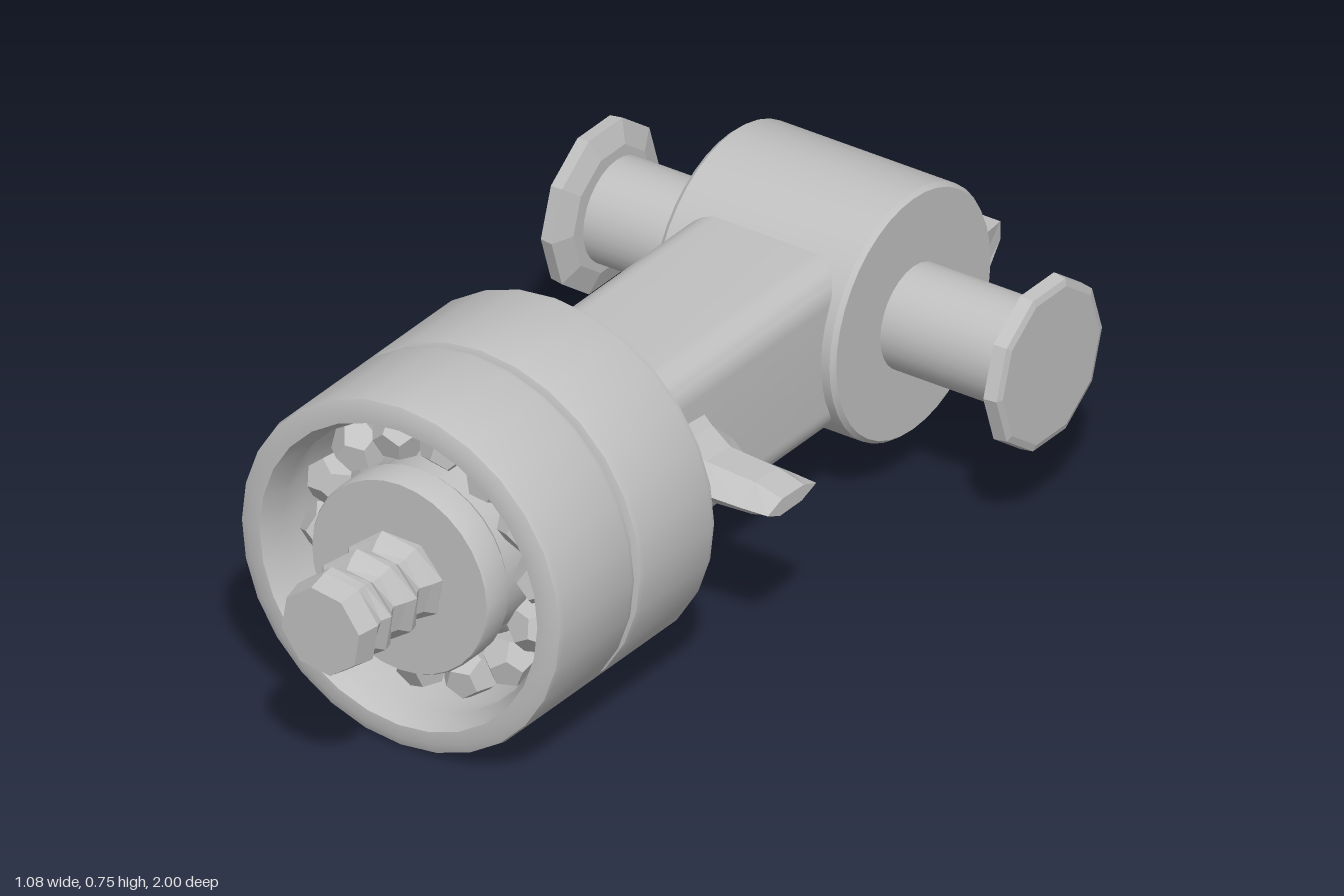
import * as THREE from 'three';
import { toCreasedNormals } from 'three/addons/utils/BufferGeometryUtils.js';

const steel = new THREE.MeshStandardMaterial({ color: 0xc0c0c0 });
steel.name = 'steel grey';
const AXIS_Y = 0.38;   // height of the bearing axis
const PIN_Z = -0.65;   // position of the cross pin

// closed loft through equally sized loops, each running anticlockwise about the loft direction
function loft(rings) {
  const n = rings[0].length, pos = [];
  const tri = (a, b, c) => pos.push(...a, ...b, ...c);
  for (let i = 0; i < rings.length - 1; i++) {
    for (let j = 0; j < n; j++) {
      const k = (j + 1) % n, a = rings[i], b = rings[i + 1];
      tri(a[j], a[k], b[k]);
      tri(a[j], b[k], b[j]);
    }
  }
  const first = rings[0], last = rings[rings.length - 1];
  for (let j = 1; j < n - 1; j++) {
    tri(first[0], first[j + 1], first[j]);
    tri(last[0], last[j], last[j + 1]);
  }
  const g = new THREE.BufferGeometry();
  g.setAttribute('position', new THREE.Float32BufferAttribute(pos, 3));
  g.computeVertexNormals();
  return g;
}

// lathe with sharp edges; profile is [radius, along-axis]
function turned(profile, segments) {
  const g = new THREE.LatheGeometry(profile.map(p => new THREE.Vector2(...p)), segments);
  return toCreasedNormals(g, 0.6);
}

export function createModel() {
  const model = new THREE.Group();
  model.name = 'bearingAssembly';
  let seed = 7;
  const rand = () => (seed = (seed * 16807) % 2147483647) / 2147483647;
  const add = (parent, name, geometry, x = 0, y = 0, z = 0) => {
    const m = new THREE.Mesh(geometry, steel);
    m.name = name;
    m.position.set(x, y, z);
    parent.add(m);
    return m;
  };

  // two ball bearings side by side
  const outer = turned([[0.352, -0.13], [0.372, -0.122], [0.375, -0.11], [0.375, 0.11], [0.372, 0.122], [0.352, 0.13],
    [0.325, 0.13], [0.305, 0.08], [0.318, 0], [0.305, -0.08], [0.325, -0.13], [0.352, -0.13]], 28).rotateX(Math.PI / 2);
  const inner = turned([[0, -0.127], [0.204, -0.127], [0.207, -0.122], [0.207, -0.06], [0.19, -0.04], [0.19, 0.04],
    [0.207, 0.06], [0.207, 0.122], [0.204, 0.127], [0, 0.127]], 32).rotateX(Math.PI / 2);
  const ballGeo = new THREE.DodecahedronGeometry(0.055, 0);
  [0.613, 0.349].forEach((z, row) => {
    const bearing = new THREE.Group();
    bearing.name = row ? 'rearBearing' : 'frontBearing';
    bearing.position.set(0, AXIS_Y, z);
    add(bearing, 'outerRace', outer);
    add(bearing, 'innerRace', inner);
    const count = 14;
    for (let i = 0; i < count; i++) {
      const a = (i + 0.25 + row * 0.12) / count * Math.PI * 2;
      const ball = add(bearing, 'ball', ballGeo, Math.cos(a) * 0.25, Math.sin(a) * 0.25, 0.01);
      ball.rotation.set(rand() * 6, rand() * 6, rand() * 6);
    }
    model.add(bearing);
  });

  // threaded stud at the front: faceted helix ending in a plain tip
  const studRings = [];
  for (let i = 0; i <= 12; i++) {
    const ring = [];
    for (let j = 0; j < 8; j++) {
      const a = (j + 0.3) / 8 * Math.PI * 2;
      const r = i > 10 ? 0.103 - (i - 11) * 0.01 : 0.092 + 0.013 * Math.sin(i * Math.PI / 2 - a);
      ring.push([Math.cos(a) * r, Math.sin(a) * r, i < 12 ? 0.72 + i * 0.021 : 1]);
    }
    studRings.push(ring);
  }
  add(model, 'threadedStud', loft(studRings), 0, 0.383, 0);

  // main arm: rounded bar running back to the knuckle
  const w = 0.185, r = 0.07, s = new THREE.Shape();
  s.moveTo(-w + r, -w);
  s.absarc(w - r, -w + r, r, -Math.PI / 2, 0);
  s.absarc(w - r, w - r, r, 0, Math.PI / 2);
  s.absarc(-w + r, w - r, r, Math.PI / 2, Math.PI);
  s.absarc(-w + r, -w + r, r, Math.PI, Math.PI * 1.5);
  const arm = new THREE.ExtrudeGeometry(s, { depth: 0.82, bevelEnabled: false, curveSegments: 6 });
  add(model, 'arm', toCreasedNormals(arm, 0.6), 0, 0.375, -0.59);

  // side fins: lens-shaped sections flaring into the arm
  const finSections = [ // x, centre z, half length, centre y, half thickness
    [0.16, 0.065, 0.145, 0.375, 0.11],
    [0.205, 0.06, 0.125, 0.375, 0.065],
    [0.26, 0.06, 0.09, 0.375, 0.042],
    [0.37, 0.055, 0.086, 0.37, 0.035],
    [0.432, 0.055, 0.08, 0.37, 0.018]];
  const lens = [[-1, 0], [-0.5, 0.85], [0.4, 1], [1, 0.1], [0.5, -0.9], [-0.4, -0.9]];
  for (const side of [1, -1]) {
    const rings = finSections.map(([x, cz, hz, cy, hy]) => {
      const ring = lens.map(([u, v]) => [side * x, cy + v * hy, cz + u * hz]);
      return side > 0 ? ring : ring.reverse();
    });
    add(model, side > 0 ? 'leftFin' : 'rightFin', loft(rings));
  }

  // knuckle barrel and cross pin
  const knuckle = turned([[0, -0.215], [0.254, -0.215], [0.262, -0.205], [0.262, 0.205], [0.254, 0.215], [0, 0.215]], 40);
  add(model, 'knuckle', knuckle.rotateZ(-Math.PI / 2), 0, 0.372, PIN_Z);
  const pin = turned([[0, -0.5], [0.095, -0.5], [0.095, -0.485], [0.109, -0.48], [0.109, 0.48], [0.095, 0.485], [0.095, 0.5], [0, 0.5]], 28);
  add(model, 'crossPin', pin.rotateZ(-Math.PI / 2), 0, 0.368, PIN_Z);

  // faceted pin heads
  for (const side of [1, -1]) {
    const head = new THREE.LatheGeometry([[0, -0.025], [0.13, -0.025], [0.178, -0.008], [0.174, 0.02], [0.16, 0.025], [0, 0.025]]
      .map(p => new THREE.Vector2(...p)), 10).toNonIndexed();
    head.computeVertexNormals();
    head.rotateZ(-side * Math.PI / 2);
    add(model, side > 0 ? 'leftPinHead' : 'rightPinHead', head, side * 0.513, 0.367, PIN_Z);
  }

  // wedge-shaped lip on the back of the knuckle
  const lip = [[-0.8, 0.24], [-0.875, 0.25], [-1, 0.355], [-1, 0.395], [-0.9, 0.408], [-0.8, 0.42]];
  const lipRing = side => lip.map(([z, y]) => [side * (z < -0.95 ? 0.17 : 0.19), y, z]);
  add(model, 'rearLip', loft([lipRing(-1), lipRing(1)]));

  return model;
}
